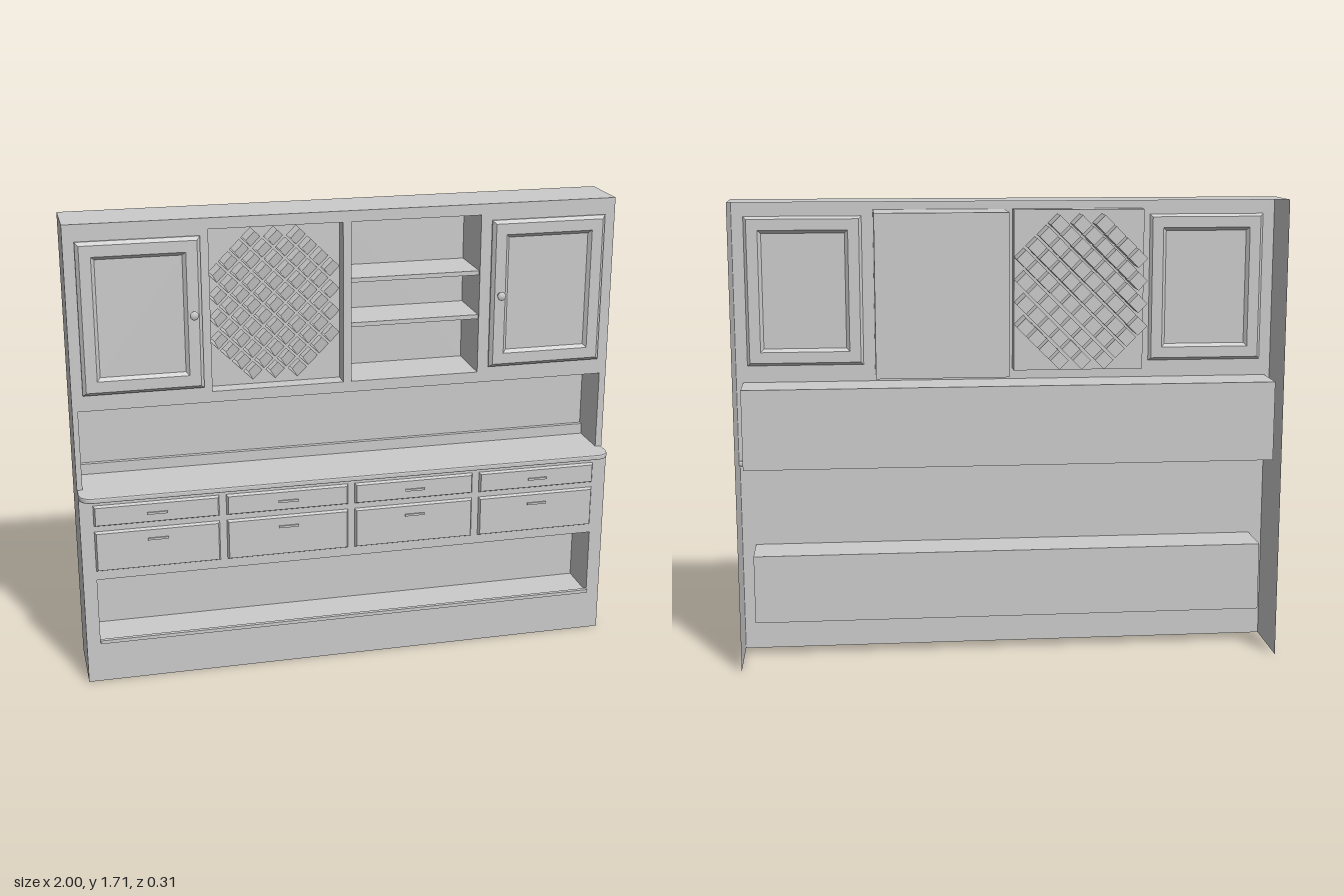
import * as THREE from 'three';

const mat = new THREE.MeshStandardMaterial({ color: 0xcccccc, side: THREE.DoubleSide });

export function createModel() {
  const root = new THREE.Group();

  const add = (name, geo, x = 0, y = 0, z = 0, parent = root) => {
    const m = new THREE.Mesh(geo, mat);
    m.name = name;
    m.position.set(x, y, z);
    parent.add(m);
    return m;
  };
  const poly = pts => pts.map(p => new THREE.Vector2(...p));
  const rect = (x0, y0, x1, y1) => poly([[x0, y0], [x1, y0], [x1, y1], [x0, y1]]);
  // Flat sheet with openings
  const sheet = (outline, holes = []) => {
    const s = new THREE.Shape(outline);
    s.holes = holes.map(h => new THREE.Path(h));
    return new THREE.ShapeGeometry(s);
  };
  // Solid box given by its limits
  const box = (name, x0, x1, y0, y1, z0, z1) =>
    add(name, new THREE.BoxGeometry(x1 - x0, y1 - y0, z1 - z0), (x0 + x1) / 2, (y0 + y1) / 2, (z0 + z1) / 2);
  // Open-fronted recess, optionally without its back
  const niche = (name, x0, x1, y0, y1, z0, z1, back = true) => {
    const m = box(name, x0, x1, y0, y1, z0, z1);
    const idx = Array.from(m.geometry.index.array);
    m.geometry.setIndex([...idx.slice(0, 24), ...(back ? idx.slice(30) : [])]);
    m.geometry.clearGroups();
  };
  // Raised board with chamfered edges: stands on z, rises by h
  const chamfered = (w, h, d, c) => {
    const g = new THREE.BoxGeometry(w, h, d);
    const p = g.attributes.position;
    for (let i = 0; i < p.count; i++) {
      if (p.getZ(i) > 0) p.setXY(i, p.getX(i) - Math.sign(p.getX(i)) * c, p.getY(i) - Math.sign(p.getY(i)) * c);
    }
    g.computeVertexNormals();
    return g;
  };

  // Carcass: thin sides, top and two pierced front faces, open at back and bottom
  const H = 1.71, BACK = -0.155, UP = 0.06, LOW = 0.11, STEP = 0.73;
  const profile = poly([[-BACK, 0], [-LOW, 0], [-LOW, STEP], [-UP, STEP], [-UP, H], [-BACK, H]]);
  for (const s of [-1, 1]) {
    add(s < 0 ? 'rightSide' : 'leftSide', sheet(profile), s).rotation.y = Math.PI / 2;
  }
  add('top', new THREE.PlaneGeometry(2, UP - BACK), 0, H, (UP + BACK) / 2).rotation.x = -Math.PI / 2;
  add('lowerFront', sheet(rect(-1, 0, 1, STEP), [rect(-0.95, 0.155, 0.95, 0.41)]), 0, 0, LOW);
  add('upperFront', sheet(rect(-1, STEP, 1, H), [
    rect(-0.98, 0.745, 0.975, 1.04),
    rect(-0.5, 1.08, -0.02, 1.67),
    rect(0.01, 1.08, 0.49, 1.67),
    rect(-0.95, 1.11, -0.54, 1.64),
    rect(0.54, 1.11, 0.95, 1.64),
  ]), 0, 0, UP);

  // Recesses and shelves
  niche('lowerNiche', -0.95, 0.95, 0.155, 0.41, -0.065, LOW);
  niche('counterNiche', -0.98, 0.975, 0.745, 1.04, -0.11, UP);
  niche('shelfNiche', 0.01, 0.49, 1.08, 1.67, -0.15, UP);
  for (const y of [1.29, 1.455]) box('shelf', 0.01, 0.49, y - 0.008, y + 0.008, -0.15, 0.05);
  box('backsplash', -0.98, 0.975, 0.745, 0.785, -0.109, -0.092);
  box('lowerLip', -0.95, 0.95, 0.155, 0.168, 0.105, 0.12);

  // Countertop with rounded front corners
  const top = new THREE.Shape();
  top.moveTo(-0.995, -UP);
  top.lineTo(-0.995, -0.105);
  top.quadraticCurveTo(-0.99, -0.15, -0.945, -0.15);
  top.lineTo(0.945, -0.15);
  top.quadraticCurveTo(0.99, -0.15, 0.995, -0.105);
  top.lineTo(0.995, -UP);
  const topGeo = new THREE.ExtrudeGeometry(top, {
    depth: 0.01, bevelThickness: 0.005, bevelSize: 0.005, bevelSegments: 2, curveSegments: 8,
  });
  add('countertop', topGeo, 0, 0.73, 0).rotation.x = -Math.PI / 2;

  // Bottle rack: shallow recess whose back is pierced by diamond pockets
  niche('rackFrame', -0.5, -0.02, 1.08, 1.67, 0, UP, false);
  const cx = -0.26, cy = 1.375, step = 0.041, r = 0.034, depth = 0.095;
  const holes = [];
  const tube = new THREE.CylinderGeometry(r, r, depth, 4, 1, true).toNonIndexed();
  tube.rotateX(Math.PI / 2);
  tube.computeVertexNormals();
  const end = sheet(poly([[r, 0], [0, r], [-r, 0], [0, -r]]));
  const pockets = new THREE.Group();
  pockets.name = 'bottlePockets';
  root.add(pockets);
  for (let i = -5; i <= 5; i++) {
    for (let j = -6; j <= 6; j++) {
      if ((i + j) % 2 || Math.abs(i) + Math.abs(j) > 9) continue;
      const x = cx + i * step, y = cy + j * step;
      holes.push(poly([[x + r, y], [x, y + r], [x - r, y], [x, y - r]]));
      add('pocketWalls', tube, x, y, -depth / 2, pockets);
      add('pocketEnd', end, x, y, -depth, pockets);
    }
  }
  add('rackPanel', sheet(rect(-0.5, 1.08, -0.02, 1.67), holes));

  // Framed doors with sunken panels and turned knobs
  const frame = new THREE.Shape(rect(-0.203, -0.263, 0.203, 0.263));
  frame.holes.push(new THREE.Path(rect(-0.163, -0.223, 0.163, 0.223)));
  const frameGeo = new THREE.ExtrudeGeometry(frame, {
    depth: 0.006, bevelThickness: 0.012, bevelSize: 0.012, bevelSegments: 1,
  });
  const knobGeo = new THREE.LatheGeometry(poly([
    [0.01, 0], [0.006, 0.004], [0.006, 0.012], [0.015, 0.016], [0.016, 0.021], [0.01, 0.025], [0, 0.026],
  ]), 16);
  for (const s of [-1, 1]) {
    const door = new THREE.Group();
    door.name = s < 0 ? 'rightDoor' : 'leftDoor';
    door.position.set(s * 0.745, 1.375, UP);
    root.add(door);
    add('doorFrame', frameGeo, 0, 0, 0.002, door);
    add('doorPanel', new THREE.BoxGeometry(0.33, 0.45, 0.006), 0, 0, 0.005, door);
    add('knob', knobGeo, -s * 0.183, 0, 0.02, door).rotation.x = Math.PI / 2;
  }

  // Two rows of drawers with bar pulls
  for (let i = 0; i < 4; i++) {
    const x = -0.723 + i * 0.481;
    for (const [y, h] of [[0.66, 0.08], [0.522, 0.155]]) {
      add('drawerFront', chamfered(0.455, h, 0.012, 0.006), x, y, LOW + 0.006);
      const py = h > 0.1 ? 0.56 : 0.66;
      add('pull', new THREE.BoxGeometry(0.075, 0.008, 0.005), x, py, LOW + 0.018);
      for (const s of [-1, 1]) {
        add('pullPost', new THREE.BoxGeometry(0.006, 0.006, 0.006), x + s * 0.03, py, LOW + 0.014);
      }
    }
  }
  return root;
}
